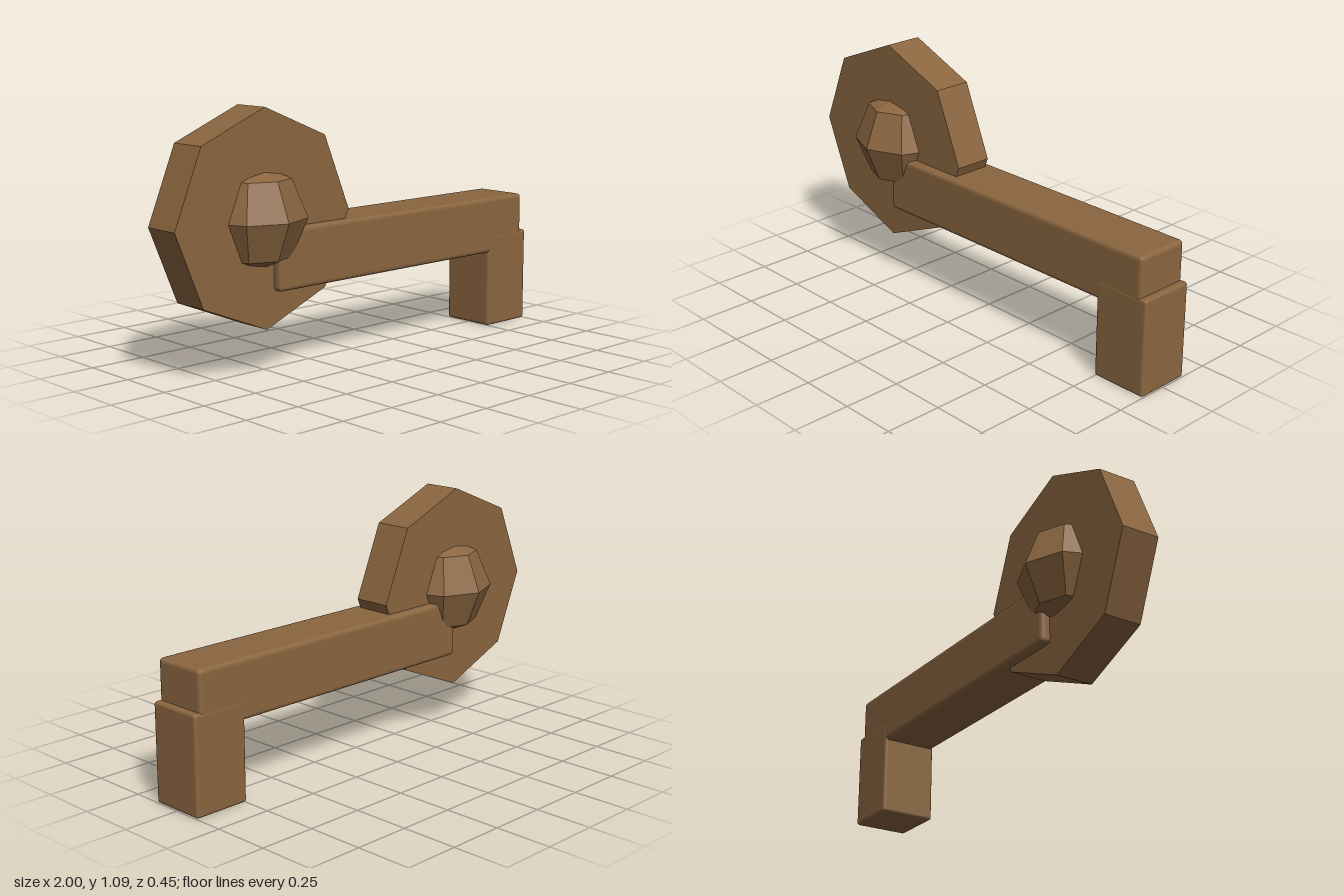
import * as THREE from 'three';
import { RoundedBoxGeometry } from 'three/addons/geometries/RoundedBoxGeometry.js';

export function createModel() {
  const model = new THREE.Group();
  model.name = 'wheelAndHandle';

  const wood = new THREE.MeshStandardMaterial({ color: 0x8b6640, flatShading: true });
  wood.name = 'brownWood';

  const add = (name, geometry, x, y, z = 0) => {
    const mesh = new THREE.Mesh(geometry, wood);
    mesh.name = name;
    mesh.position.set(x, y, z);
    model.add(mesh);
    return mesh;
  };

  // octagonal wheel, axle along z
  const wheel = new THREE.CylinderGeometry(0.45, 0.45, 0.17, 8);
  wheel.rotateX(Math.PI / 2);
  add('wheel', wheel, -0.55, 0.64);

  // faceted hub bulging out of both wheel faces
  add('hub', new THREE.SphereGeometry(0.226, 8, 4), -0.55, 0.64);

  // long horizontal arm with softened edges
  add('arm', new RoundedBoxGeometry(1.48, 0.255, 0.248, 2, 0.018), 0.23, 0.47);

  // foot hanging from the end of the arm
  add('foot', new RoundedBoxGeometry(0.255, 0.425, 0.25, 2, 0.012), 0.8725, 0.2125);

  return model;
}
